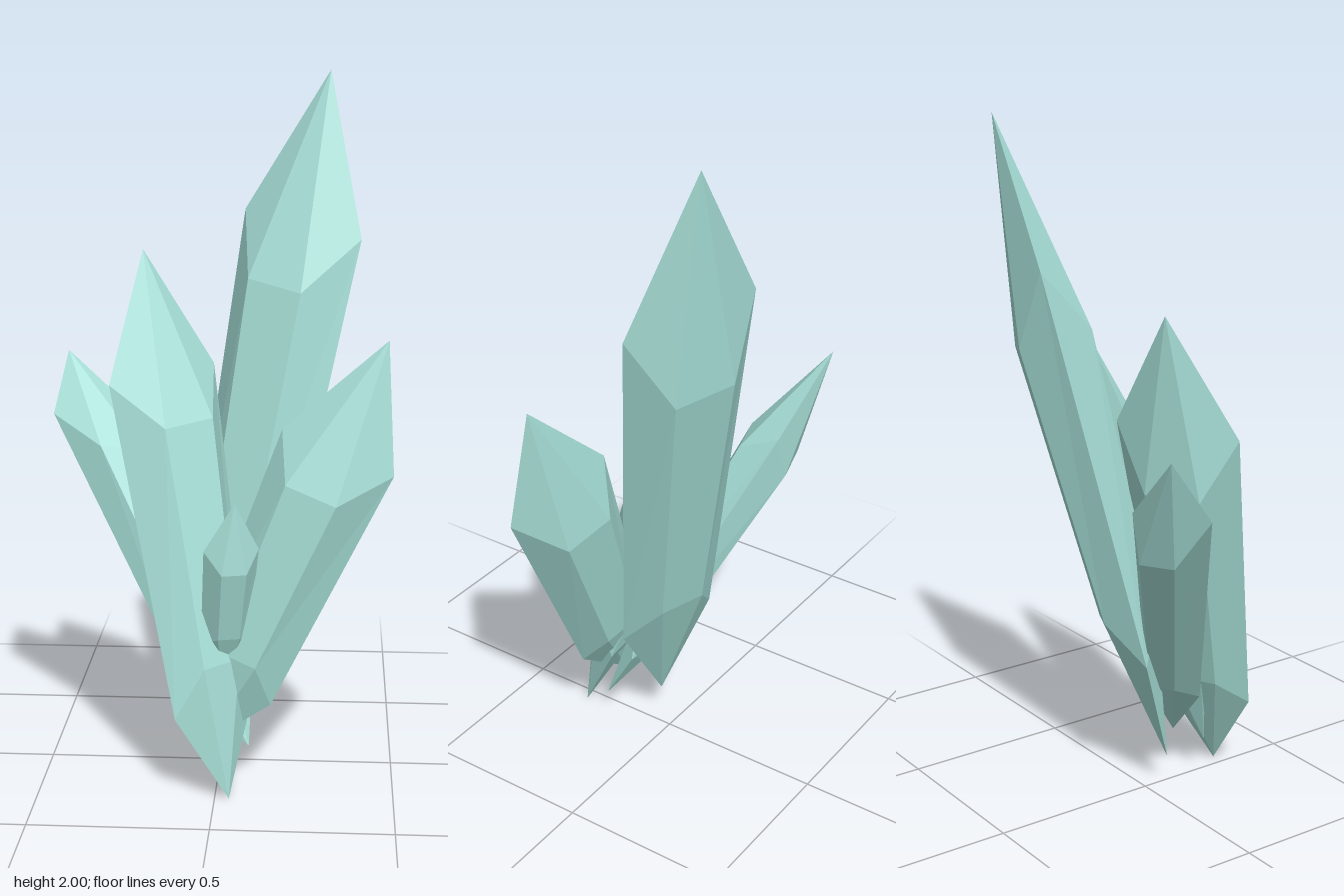
import * as THREE from 'three';

const V = (a) => new THREE.Vector3(...a);

// Six-sided, slightly flattened, double-pointed shard.
// wide: half-width vector to the outer corner; thick: half-thickness;
// high / low: positions of the outer corners along the axis (0..1).
function shard({ base, tip, wide, thick, high = 0.77, low = 0.165, taper = 0.75, step = 0.1 }) {
  const b = V(base), t = V(tip), w = V(wide);
  const n = t.clone().sub(b).cross(w).normalize().multiplyScalar(thick);
  const f = 0.45;
  const section = [[1, 0], [f, 1], [-f, 1], [-1, 0], [-f, -1], [f, -1]];

  // The two outer corners sit nearer the points than the four face corners.
  const ring = (outer, inner, scale) => section.map(([u, v]) =>
    b.clone().lerp(t, v === 0 ? outer : inner)
      .addScaledVector(w, u * scale)
      .addScaledVector(n, v * scale));
  const upper = ring(high, high - step, 1);
  const lower = ring(low, low + step * 0.75, taper);

  const pts = [];
  for (let i = 0; i < 6; i++) {
    const j = (i + 1) % 6;
    pts.push(b, lower[j], lower[i]);
    pts.push(lower[i], lower[j], upper[j], lower[i], upper[j], upper[i]);
    pts.push(upper[i], upper[j], t);
  }
  const geometry = new THREE.BufferGeometry().setFromPoints(pts);
  geometry.computeVertexNormals();
  return geometry;
}

const shards = {
  tallBackCrystal: {
    base: [-0.035, 0.1, 0.055], tip: [0.3, 2, -0.3], wide: [0.17, -0.035, 0.09], thick: 0.105,
  },
  frontCrystal: {
    base: [0.04, 0, 0.29], tip: [-0.23, 1.5, -0.1], wide: [0.14, 0.015, -0.107], thick: 0.105,
  },
  leftCrystal: {
    base: [-0.04, 0.12, 0.19], tip: [0.47, 1.28, 0.13], wide: [0.155, -0.055, 0.045], thick: 0.095,
    high: 0.73, low: 0.15,
  },
  rightCrystal: {
    base: [0.09, 0.11, 0.17], tip: [-0.47, 1.18, -0.255], wide: [0.13, -0.015, -0.035], thick: 0.08,
    high: 0.825,
  },
  smallCrystal: {
    base: [0.01, 0.25, 0.17], tip: [0.055, 0.855, 0.295], wide: [0.075, 0, -0.02], thick: 0.055,
    low: 0.3, taper: 0.88, step: 0.08,
  },
};

export function createModel() {
  const group = new THREE.Group();
  group.name = 'crystalCluster';
  const material = new THREE.MeshStandardMaterial({ color: 0xa6ded6, flatShading: true });
  for (const [name, spec] of Object.entries(shards)) {
    const mesh = new THREE.Mesh(shard(spec), material);
    mesh.name = name;
    group.add(mesh);
  }
  return group;
}
